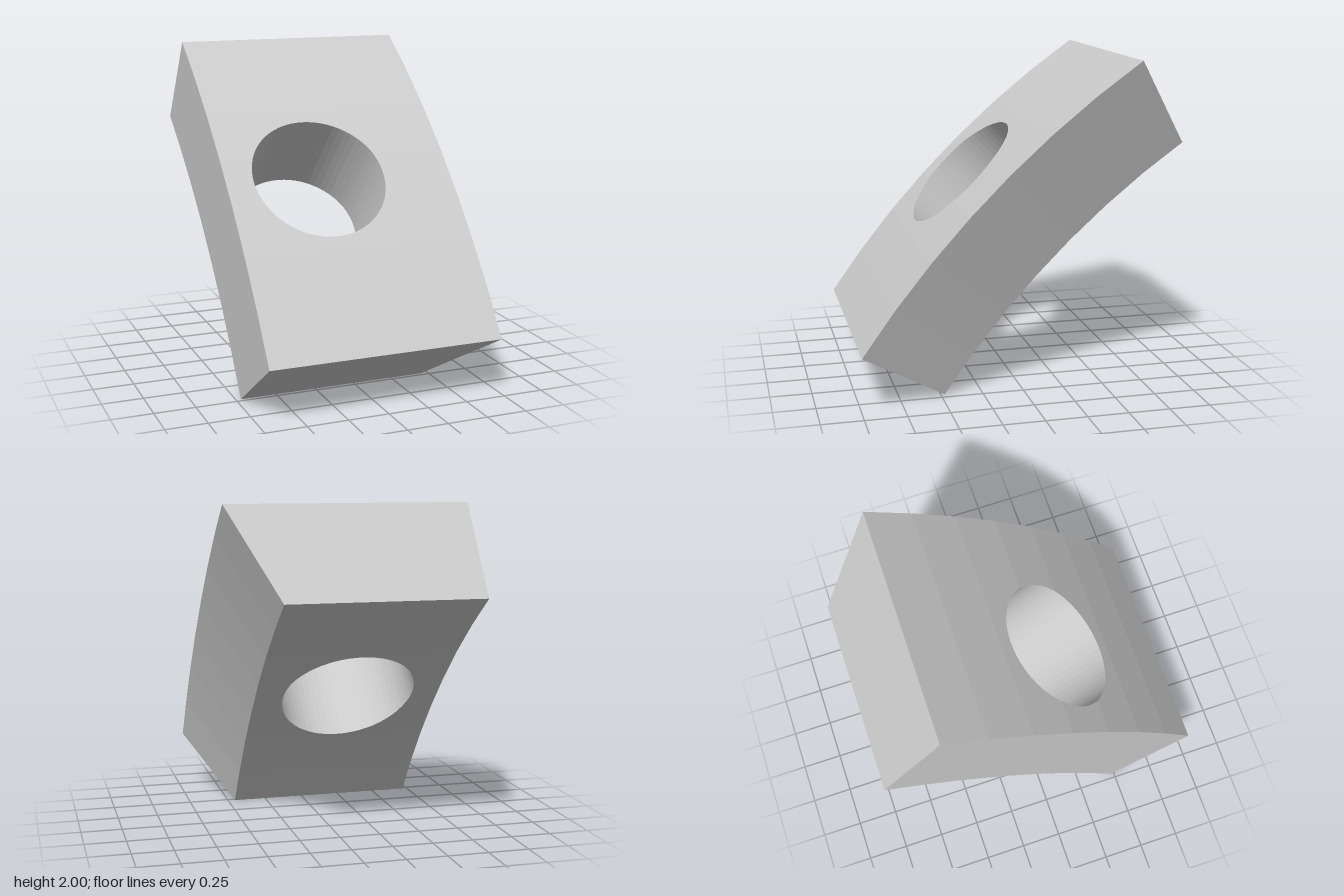
import * as THREE from 'three';

// Local frame: x across the block, y along the arc, z outward from the arc's centre.
const OUTER = 6.22, INNER = 5.585;
const HALF_ANGLE = THREE.MathUtils.degToRad(10.75), SEGMENTS = 7;
const LEFT = -0.72, RIGHT_OUTER = 0.72, RIGHT_INNER = 0.455;
const HOLE_X = -0.135, HOLE_R = 0.415, HOLE_STEPS = 32;

// Corners of the faceted arc as [y, z]
function arcPoints(radius) {
  return Array.from({ length: SEGMENTS + 1 }, (_, i) => {
    const a = HALF_ANGLE * (2 * i / SEGMENTS - 1);
    return [radius * Math.sin(a), radius * Math.cos(a)];
  });
}
const outer = arcPoints(OUTER), inner = arcPoints(INNER);

// Height of the faceted arc at a given y
function heightAt(points, y) {
  let i = 0;
  while (i < SEGMENTS - 1 && y > points[i + 1][0]) i++;
  const [y0, z0] = points[i], [y1, z1] = points[i + 1];
  return z0 + (z1 - z0) * (y - y0) / (y1 - y0);
}

const halfChord = y => Math.sqrt(Math.max(0, HOLE_R * HOLE_R - y * y));

// Rows follow the hole's rim closely and include every facet edge
const rimRows = Array.from({ length: HOLE_STEPS + 1 },
  (_, i) => -HOLE_R * Math.cos(Math.PI * i / HOLE_STEPS));
const rowsFor = (...arcs) =>
  [...rimRows, ...arcs.flatMap(arc => arc.map(p => p[0]))].sort((a, b) => a - b);

function quad(out, a, b, c, d, flip = false) {
  const corners = flip ? [a, d, c, a, c, b] : [a, b, c, a, c, d];
  corners.forEach(p => out.push(...p));
}

// Curved face with the round opening left out
function pushFace(out, arc, right, flip) {
  const rows = rowsFor(arc);
  for (let i = 0; i < rows.length - 1; i++) {
    const [y0, y1] = [rows[i], rows[i + 1]];
    const [z0, z1] = [heightAt(arc, y0), heightAt(arc, y1)];
    const [h0, h1] = [halfChord(y0), halfChord(y1)];
    quad(out, [LEFT, y0, z0], [HOLE_X - h0, y0, z0], [HOLE_X - h1, y1, z1], [LEFT, y1, z1], flip);
    quad(out, [HOLE_X + h0, y0, z0], [right, y0, z0], [right, y1, z1], [HOLE_X + h1, y1, z1], flip);
  }
}

function makeMesh(name, positions, material) {
  const geometry = new THREE.BufferGeometry();
  geometry.setAttribute('position', new THREE.Float32BufferAttribute(positions, 3));
  geometry.computeVertexNormals();
  const mesh = new THREE.Mesh(geometry, material);
  mesh.name = name;
  return mesh;
}

export function createModel() {
  const material = new THREE.MeshStandardMaterial({ color: 0xcccccc, flatShading: true });
  const block = new THREE.Group();
  block.name = 'curvedBlock';

  // Outer and inner curved faces
  const outerFace = [], innerFace = [];
  pushFace(outerFace, outer, RIGHT_OUTER, false);
  pushFace(innerFace, inner, RIGHT_INNER, true);

  // Straight side and slanted side
  const straightSide = [], slantedSide = [];
  for (let i = 0; i < SEGMENTS; i++) {
    const strip = (xIn, xOut) =>
      [[xIn, ...inner[i]], [xOut, ...outer[i]], [xOut, ...outer[i + 1]], [xIn, ...inner[i + 1]]];
    quad(straightSide, ...strip(LEFT, LEFT));
    quad(slantedSide, ...strip(RIGHT_INNER, RIGHT_OUTER), true);
  }

  // Flat ends
  const ends = [];
  for (const i of [0, SEGMENTS]) {
    quad(ends, [LEFT, ...inner[i]], [LEFT, ...outer[i]],
      [RIGHT_OUTER, ...outer[i]], [RIGHT_INNER, ...inner[i]], i === 0);
  }

  // Wall of the round through hole
  const holeWall = [];
  const rows = rowsFor(outer, inner).filter(y => Math.abs(y) <= HOLE_R);
  for (let i = 0; i < rows.length - 1; i++) {
    const [y0, y1] = [rows[i], rows[i + 1]];
    for (const side of [-1, 1]) {
      const x0 = HOLE_X + side * halfChord(y0), x1 = HOLE_X + side * halfChord(y1);
      quad(holeWall, [x0, y0, heightAt(inner, y0)], [x1, y1, heightAt(inner, y1)],
        [x1, y1, heightAt(outer, y1)], [x0, y0, heightAt(outer, y0)], side > 0);
    }
  }

  const parts = { outerFace, innerFace, straightSide, slantedSide, ends, holeWall };
  for (const [name, positions] of Object.entries(parts)) {
    block.add(makeMesh(name, positions, material));
  }

  // Lean the block back and stand it on its lower edge
  block.rotation.x = -Math.PI / 4;
  block.position.set(0, -3.142, -4.14);

  const model = new THREE.Group();
  model.name = 'archSegment';
  model.add(block);
  return model;
}
